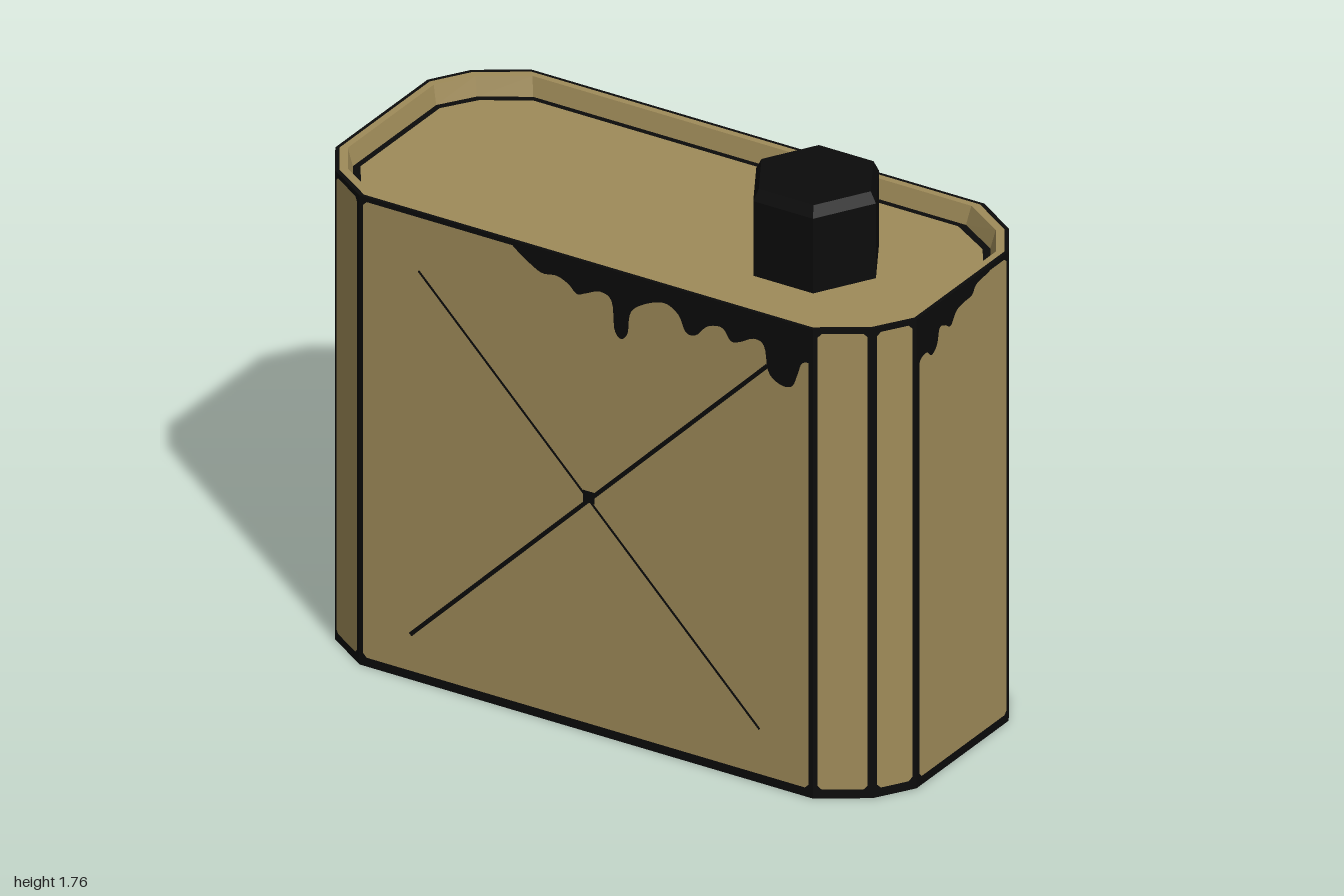
import * as THREE from 'three';

const HEIGHT = 1.54, FLOOR = 1.48;
// Can outline, counter-clockwise from above, starting at the front
const corner = [[0.78, 0.465], [0.925, 0.37], [1, 0.25]];
const rightHalf = [...corner, ...corner.map(([x, z]) => [x, -z]).reverse()];
const outline = [...rightHalf, ...rightHalf.map(([x, z]) => [-x, z]).reverse()];

const inset = (d) => outline.map(([x, z]) => [x * (1 - d), z * (1 - d / 0.465)]);

// Flat-shaded skin through [inset, height] loops
function loft(levels) {
  const pos = [];
  for (let k = 0; k < levels.length - 1; k++) {
    const [d0, y0] = levels[k], [d1, y1] = levels[k + 1];
    const lo = inset(d0), hi = inset(d1);
    for (let i = 0; i < lo.length; i++) {
      const j = (i + 1) % lo.length;
      const a = [lo[i][0], y0, lo[i][1]], b = [lo[j][0], y0, lo[j][1]];
      const c = [hi[j][0], y1, hi[j][1]], e = [hi[i][0], y1, hi[i][1]];
      pos.push(...a, ...b, ...c, ...a, ...c, ...e);
    }
  }
  const g = new THREE.BufferGeometry();
  g.setAttribute('position', new THREE.Float32BufferAttribute(pos, 3));
  g.computeVertexNormals();
  return g;
}

function plate(d, y, up) {
  const shape = new THREE.Shape(inset(d).map(([x, z]) => new THREE.Vector2(x, -z)));
  return new THREE.ShapeGeometry(shape).rotateX(up ? -Math.PI / 2 : Math.PI / 2).translate(0, y, 0);
}

// Rectangle with clipped corners for a wall panel
function panelGeometry(w) {
  const x = w / 2 - 0.014, lo = 0.03, hi = 1.526, c = 0.012;
  const pts = [[-x + c, lo], [x - c, lo], [x, lo + c], [x, hi - c], [x - c, hi], [-x + c, hi], [-x, hi - c], [-x, lo + c]];
  return new THREE.ShapeGeometry(new THREE.Shape(pts.map((p) => new THREE.Vector2(...p))));
}

// Paint run hanging from the top edge, lower edge smoothed through points
function dripGeometry(points) {
  const v = points.map((p) => new THREE.Vector2(...p));
  const curve = new THREE.SplineCurve(v).getPoints(points.length * 4);
  const last = v[v.length - 1];
  return new THREE.ShapeGeometry(new THREE.Shape([new THREE.Vector2(v[0].x, 1.535), ...curve, new THREE.Vector2(last.x, 1.535)]));
}

const frontDrip = [[-0.25, 1.525], [-0.2, 1.49], [-0.15, 1.465], [-0.1, 1.47], [-0.06, 1.455], [-0.03, 1.43], [0, 1.44],
  [0.05, 1.46], [0.09, 1.44], [0.1, 1.35], [0.122, 1.325], [0.145, 1.35], [0.155, 1.42], [0.2, 1.46], [0.27, 1.485],
  [0.32, 1.46], [0.345, 1.41], [0.38, 1.41], [0.42, 1.45], [0.47, 1.46], [0.5, 1.425], [0.53, 1.43], [0.58, 1.455],
  [0.615, 1.44], [0.63, 1.36], [0.67, 1.33], [0.71, 1.335], [0.73, 1.38], [0.745, 1.42], [0.775, 1.43]];
const backDrip = [[-0.775, 1.45], [-0.73, 1.44], [-0.71, 1.38], [-0.69, 1.36], [-0.665, 1.38], [-0.65, 1.44], [-0.57, 1.46],
  [-0.49, 1.445], [-0.4, 1.475], [-0.34, 1.46], [-0.3, 1.41], [-0.265, 1.46], [-0.15, 1.485], [-0.03, 1.45], [0.03, 1.475],
  [0.12, 1.48], [0.155, 1.43], [0.18, 1.4], [0.205, 1.43], [0.215, 1.49], [0.27, 1.525]];
const rightDrip = [[-0.245, 1.36], [-0.235, 1.4], [-0.2, 1.41], [-0.175, 1.39], [-0.145, 1.41], [-0.13, 1.46], [-0.1, 1.455],
  [-0.07, 1.44], [-0.04, 1.475], [0, 1.485], [0.045, 1.49], [0.07, 1.515], [0.14, 1.525]];

export function createModel() {
  const tan = new THREE.MeshStandardMaterial({ color: 0x9f8b59 });
  const black = new THREE.MeshStandardMaterial({ color: 0x0b0b0b });
  tan.name = 'khaki paint';
  black.name = 'black paint';

  const model = new THREE.Group();
  model.name = 'fuelCan';
  const add = (parent, name, geometry, material) => {
    const m = new THREE.Mesh(geometry, material);
    m.name = name;
    parent.add(m);
    return m;
  };

  // Body shell, raised rim and sunken lid
  add(model, 'bodyShell', loft([[0, 0], [0, HEIGHT], [0.011, HEIGHT]]), black);
  add(model, 'rim', loft([[0.011, HEIGHT], [0.032, HEIGHT], [0.045, FLOOR]]), tan);
  add(model, 'lidSeam', loft([[0.045, FLOOR], [0.064, FLOOR]]), black);
  add(model, 'lid', plate(0.064, FLOOR, true), tan);
  add(model, 'base', plate(0, 0, false), tan);

  // Wall panels; details are laid on the wide faces and the right end
  outline.forEach(([ax, az], i) => {
    const [bx, bz] = outline[(i + 1) % outline.length];
    const nx = az - bz, nz = bx - ax;
    const wall = new THREE.Group();
    wall.name = 'wall' + (i + 1);
    wall.position.set((ax + bx) / 2, 0, (az + bz) / 2);
    wall.rotation.y = Math.atan2(nx, nz);
    model.add(wall);
    const width = Math.hypot(nx, nz);
    add(wall, 'panel', panelGeometry(width), tan).position.z = 0.002;

    const isFront = nz > 1, isBack = nz < -1, isRight = nx > 0.45;
    const drip = isFront ? frontDrip : isBack ? backDrip : isRight ? rightDrip : null;
    if (drip) add(wall, 'paintDrip', dripGeometry(drip), black).position.z = 0.004;

    // Crossed pressing lines with a small centre square
    if (isFront || isBack) {
      const cross = new THREE.Group();
      cross.name = 'crossLines';
      cross.position.set(0.012, 0.765, 0.004);
      wall.add(cross);
      add(cross, 'risingLine', new THREE.PlaneGeometry(1.74, 0.013), black).rotation.z = Math.PI / 4;
      add(cross, 'fallingLine', new THREE.PlaneGeometry(1.66, 0.008), black).rotation.z = -Math.PI / 4;
      add(cross, 'centreSquare', new THREE.PlaneGeometry(0.038, 0.038), black).position.set(0, 0.01, 0.001);
    }
  });

  // Six-sided screw cap with a bevelled top
  const profile = [[0.206, FLOOR], [0.206, 1.725], [0.188, 1.76], [0, 1.76]].map((p) => new THREE.Vector2(...p));
  const capGeometry = new THREE.LatheGeometry(profile, 6).rotateY(Math.PI / 2).toNonIndexed();
  capGeometry.computeVertexNormals();
  add(model, 'screwCap', capGeometry, black).position.x = 0.496;

  return model;
}
